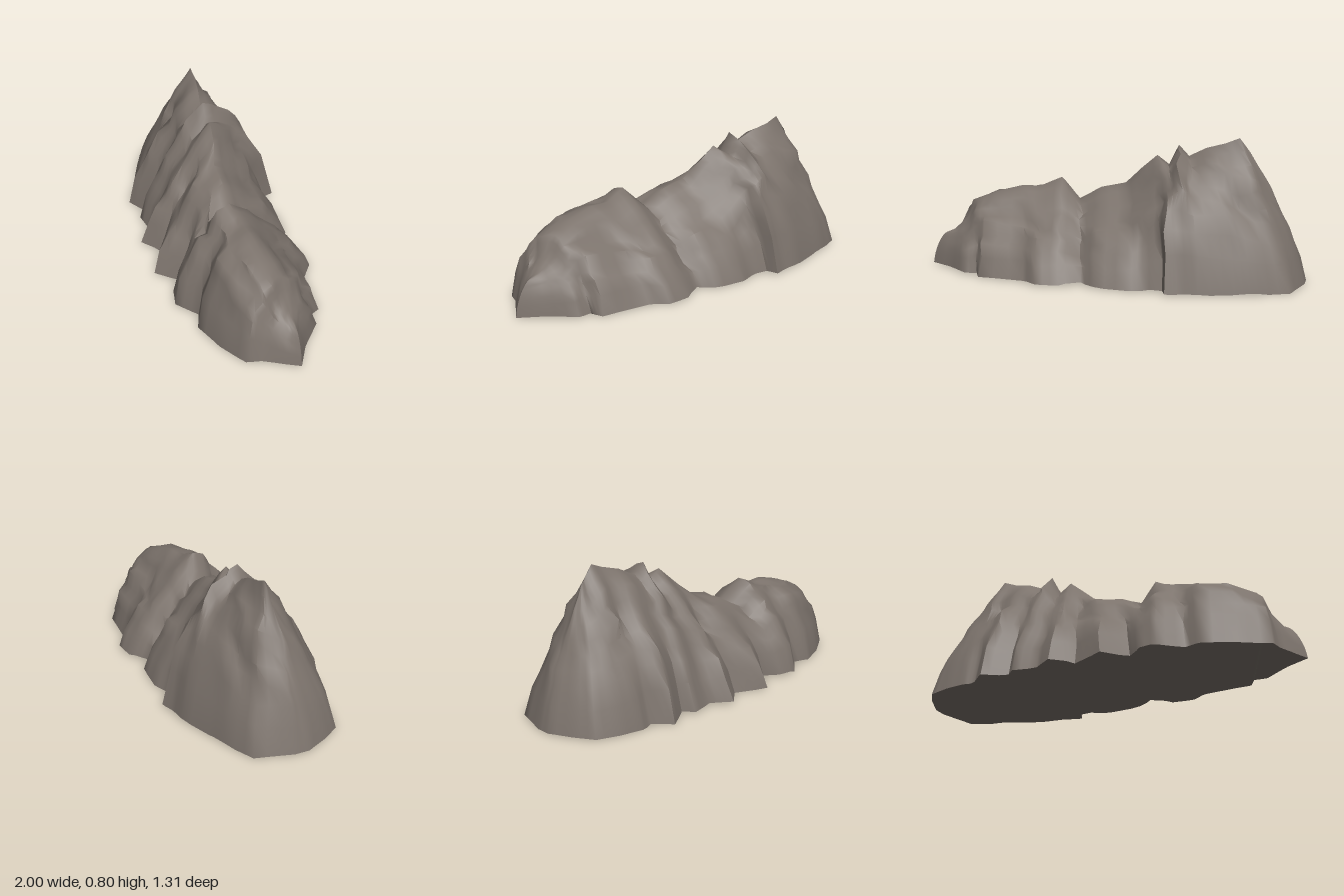
import * as THREE from 'three';
import { toCreasedNormals } from 'three/addons/utils/BufferGeometryUtils.js';

// Matching stations along the rock, from its -x tip to its +x tip.
// Foot of the front slope: x, z, bulge of the slope (1 = sharp crest, more = domed)
const front = [
  [-1, -.3, 1], [-.99, -.18, 1], [-.9, -.08, 1.05], [-.8, 0, 1.1], [-.74, .02, 1.2], [-.7, .14, 1.3],
  [-.55, .13, 1.2], [-.53, .2, 1.05], [-.4, .24, 1.1], [-.34, .36, 1], [-.2, .33, 1.1], [-.08, .49, 1.4],
  [.08, .43, 1.5], [.12, .53, 1.8], [.2, .59, 1.6], [.35, .56, 2], [.42, .63, 2.2], [.6, .65, 2.3],
  [.78, .64, 2.2], [.83, .58, 2], [.93, .51, 1.8], [1, .46, 1.6]];
// Foot of the back slope: x, z, bulge
const back = [
  [-1, -.3, 1], [-.99, -.44, 1], [-.95, -.51, 1], [-.8, -.66, 1], [-.62, -.65, 1.1], [-.5, -.63, 1.3],
  [-.3, -.6, 1.6], [-.2, -.56, 1.5], [-.13, -.55, 1.8], [-.14, -.48, 1.3], [-.05, -.42, 1.1], [.04, -.41, 1.1],
  [.2, -.31, 1], [.25, -.22, 1], [.38, -.23, 1], [.5, -.18, 1.05], [.55, -.08, 1.1], [.78, .07, 1.3],
  [.78, .14, 1.4], [.85, .17, 1.5], [.92, .34, 1.6], [1, .46, 1.6]];
// Crest: x, y, z
const crest = [
  [-.68, .71, -.36], [-.68, .71, -.36], [-.67, .73, -.35], [-.62, .8, -.33], [-.55, .77, -.3],
  [-.46, .74, -.24], [-.38, .69, -.18], [-.33, .75, -.15], [-.28, .64, -.13], [-.22, .69, -.1],
  [-.14, .61, -.05], [-.07, .52, .02], [.06, .49, .08], [.17, .41, .14], [.26, .53, .23], [.38, .48, .26],
  [.48, .48, .3], [.62, .44, .35], [.74, .39, .37], [.79, .29, .38], [.86, .22, .4], [.91, .2, .42]];

const SUB = 3;      // columns between stations
const ROWS = 9;     // rows from foot to crest on each side

// Repeatable noise in -1..1
const hash = (a, b, c) => {
  const v = Math.sin(a * 127.1 + b * 311.7 + c * 74.7) * 43758.5453;
  return (v - Math.floor(v)) * 2 - 1;
};

// Straight interpolation along a list of stations
function along(list, u) {
  const i = Math.min(Math.floor(u), list.length - 2);
  return list[i].map((v, k) => THREE.MathUtils.lerp(v, list[i + 1][k], u - i));
}

// Rough stone offsets, one triple for each station and row
const bumps = Array.from({ length: 2 * ROWS + 1 }, (_, j) =>
  front.map((_, i) => [hash(i, j, 1), hash(i, j, 2), hash(i, j, 3)]));

function rockGeometry() {
  const columns = (front.length - 1) * SUB;
  const ring = 2 * ROWS + 1;
  const positions = [], index = [];
  for (let i = 0; i <= columns; i++) {
    const u = i / SUB;
    const [topX, topY, topZ] = along(crest, u);
    const endFade = Math.min(1, i / 9, (columns - i) / 12);
    for (let j = 0; j < ring; j++) {
      const [footX, footZ, bulge] = along(j <= ROWS ? front : back, u);
      const t = 1 - Math.abs(j - ROWS) / ROWS;
      // Steep at the foot, easing towards the crest
      const rise = 1 - Math.pow(1 - Math.pow(t, 0.75), bulge);
      const bump = along(bumps[j], u);
      const rough = Math.sin(Math.PI * t) * endFade * 0.022;
      const footY = 0.008 + hash(Math.floor(u), 0, 5) * 0.008 * endFade;
      positions.push(
        THREE.MathUtils.lerp(footX, topX, t) + bump[0] * rough,
        THREE.MathUtils.lerp(footY, topY, rise) + bump[1] * rough,
        THREE.MathUtils.lerp(footZ, topZ, t) + bump[2] * rough);
    }
  }
  for (let i = 0; i < columns; i++) {
    // The last step of each ring closes the underside
    for (let j = 0; j < ring; j++) {
      const k = (j + 1) % ring;
      const a = i * ring + j, b = a + ring, c = i * ring + k, d = c + ring;
      index.push(a, b, c, b, d, c);
    }
  }
  const geometry = new THREE.BufferGeometry();
  geometry.setAttribute('position', new THREE.Float32BufferAttribute(positions, 3));
  geometry.setIndex(index);
  return toCreasedNormals(geometry, 1);
}

export function createModel() {
  const group = new THREE.Group();
  group.name = 'rockFormation';
  const stone = new THREE.MeshStandardMaterial({ color: 0x7c736c });
  stone.name = 'greyBrownStone';
  const rock = new THREE.Mesh(rockGeometry(), stone);
  rock.name = 'rockRidge';
  group.add(rock);
  return group;
}
